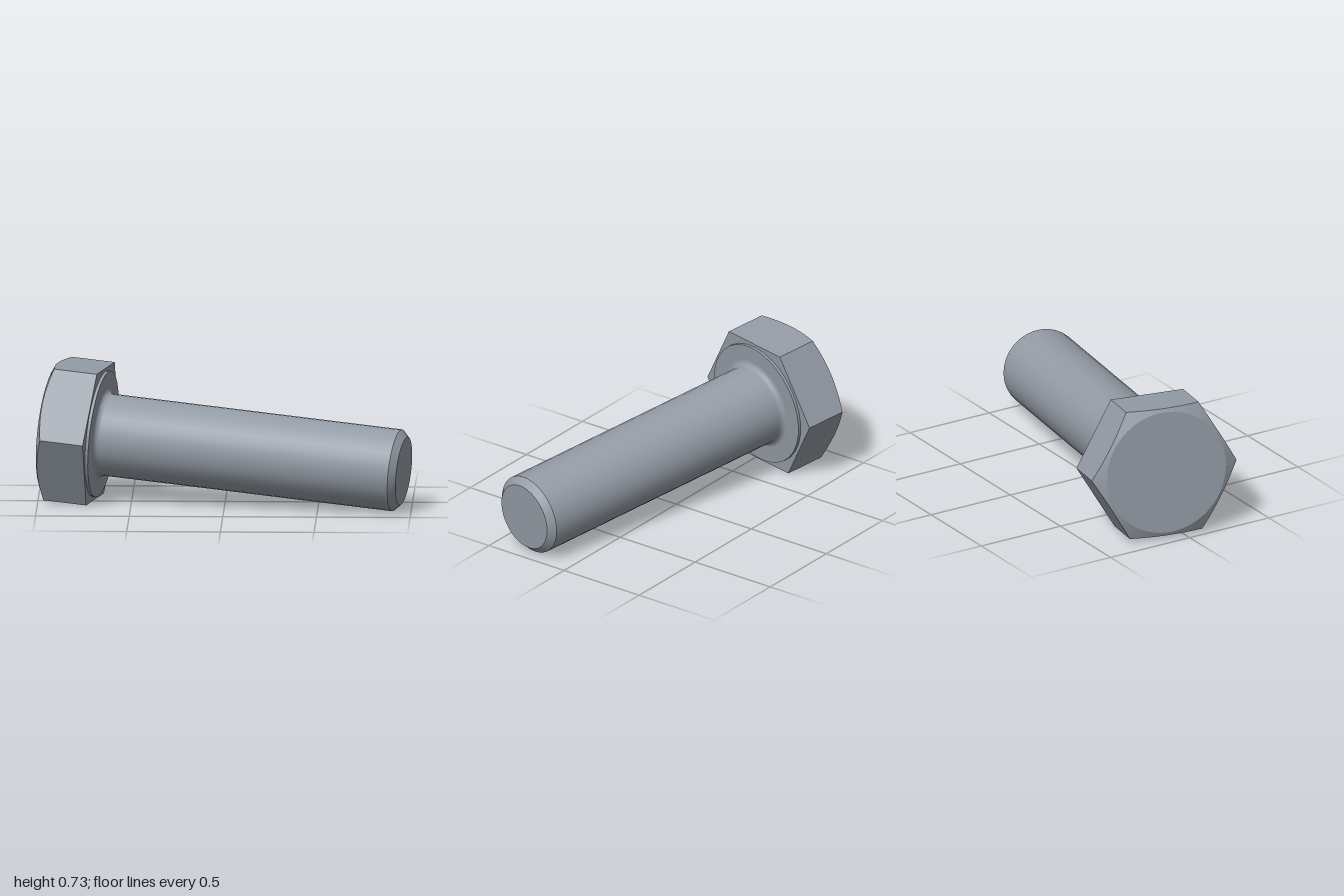
import * as THREE from 'three';
import { toCreasedNormals } from 'three/addons/utils/BufferGeometryUtils.js';

const HEAD_H = 0.27, FLAT = 0.357, CHAMFER_R = 0.338, CHAMFER_SLOPE = 0.47;
const WASHER_R = 0.34, WASHER_H = 0.016;
const SHANK_R = 0.22, TIP_R = 0.184, LENGTH = 1.67, FILLET = 0.03;

const lathe = (points, segments) =>
  new THREE.LatheGeometry(points.map(([r, y]) => new THREE.Vector2(r, y)), segments);

// Hexagonal head: a turned blank pushed out to the six flats, its top edge cut by a cone
function headGeometry() {
  const geo = lathe([[0, -HEAD_H], [CHAMFER_R, -HEAD_H], [1, -HEAD_H], [1, 0], [0, 0]], 72);
  const pos = geo.attributes.position;
  for (let i = 0; i < pos.count; i++) {
    const x = pos.getX(i), z = pos.getZ(i);
    if (Math.hypot(x, z) < 0.9) continue;
    const a = Math.atan2(x, z) + Math.PI * 2;
    const r = FLAT / Math.cos((a % (Math.PI / 3)) - Math.PI / 6);
    const y = pos.getY(i) < -0.1 ? -HEAD_H + (r - CHAMFER_R) * CHAMFER_SLOPE : 0;
    pos.setXYZ(i, Math.sin(a) * r, y, Math.cos(a) * r);
  }
  return toCreasedNormals(geo, 0.35);
}

// Shank: fillet under the head, straight cylinder, chamfered end
function shankGeometry() {
  const points = [];
  for (let i = 0; i <= 6; i++) {
    const a = (i / 6) * Math.PI / 2;
    points.push([SHANK_R + FILLET * (1 - Math.sin(a)), WASHER_H + FILLET * (1 - Math.cos(a))]);
  }
  points.push([SHANK_R, LENGTH - 0.036], [TIP_R, LENGTH], [0, LENGTH]);
  return toCreasedNormals(lathe(points, 32), 0.35);
}

export function createModel() {
  const steel = new THREE.MeshStandardMaterial({ color: 0x949ca6 });
  steel.name = 'steel';

  const bolt = new THREE.Group();
  bolt.name = 'bolt';
  const add = (name, geometry) => {
    const mesh = new THREE.Mesh(geometry, steel);
    mesh.name = name;
    bolt.add(mesh);
  };
  add('hexHead', headGeometry());
  add('washerFace', toCreasedNormals(
    lathe([[WASHER_R, 0], [WASHER_R, WASHER_H], [SHANK_R - 0.02, WASHER_H]], 32), 0.35));
  add('shank', shankGeometry());

  // Lay the bolt down, resting on the head's lower flat and the shank end
  const axis = new THREE.Vector3(0.975, -0.083, 0.205).normalize();
  const corner = new THREE.Vector3(-axis.z, 0, axis.x).normalize();
  const side = new THREE.Vector3().crossVectors(axis, corner);
  bolt.quaternion.setFromRotationMatrix(new THREE.Matrix4().makeBasis(side, axis, corner));
  bolt.position.set(-0.668, 0.356, -0.048);

  const model = new THREE.Group();
  model.name = 'hexBolt';
  model.add(bolt);
  return model;
}
